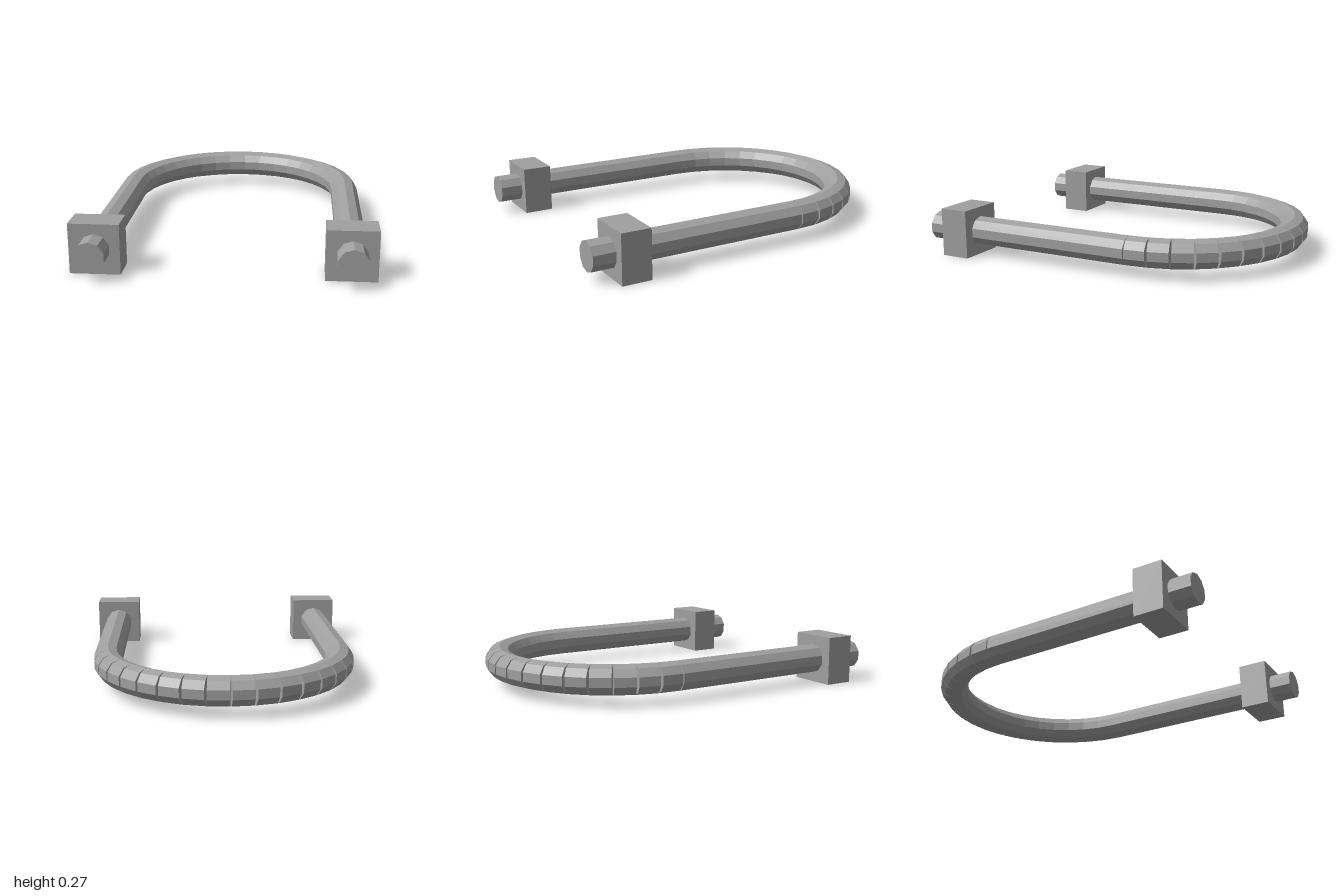
import * as THREE from 'three';

const ROD_R = 0.083;    // rod radius
const SIDES = 10;
const BEND_R = 0.665;   // bend radius, also half the leg spacing
const BEND_Z = -0.258;  // where the legs meet the bend
const MID_Y = 0.137;    // height of the rod axis
const SEGMENTS = 18;

export function createModel() {
  const steel = new THREE.MeshStandardMaterial({ color: 0xa0a0a0, flatShading: true });
  steel.name = 'grey steel';
  const model = new THREE.Group();
  model.name = 'uBolt';

  const add = (name, geometry, x, z, parent = model) => {
    const mesh = new THREE.Mesh(geometry, steel);
    mesh.name = name;
    mesh.position.set(x, MID_Y, z);
    parent.add(mesh);
    return mesh;
  };

  // Ten-sided rod lying along z, with a corner at the top
  const rod = (length) =>
    new THREE.CylinderGeometry(ROD_R, ROD_R, length, SIDES).rotateX(Math.PI / 2);

  // Straight legs with square nuts near their ends
  const legLength = 1 - BEND_Z;
  for (const [side, s] of [['left', 1], ['right', -1]]) {
    add(side + 'Leg', rod(legLength), s * BEND_R, BEND_Z + legLength / 2);
    add(side + 'Nut', new THREE.BoxGeometry(0.27, 0.274, 0.166), s * BEND_R, 0.791);
  }

  // Bend made of short straight pieces that open slightly on the outside
  const bend = new THREE.Group();
  bend.name = 'bend';
  model.add(bend);
  const step = Math.PI / SEGMENTS;
  const chord = 2 * BEND_R * Math.sin(step / 2);
  const midR = BEND_R * Math.cos(step / 2);
  const piece = rod(chord);
  for (let i = 0; i < SEGMENTS; i++) {
    const a = (i + 0.5) * step;
    const mesh = add('bendSegment' + (i + 1), piece,
      midR * Math.cos(a), BEND_Z - midR * Math.sin(a), bend);
    mesh.rotation.y = a;
  }

  return model;
}
